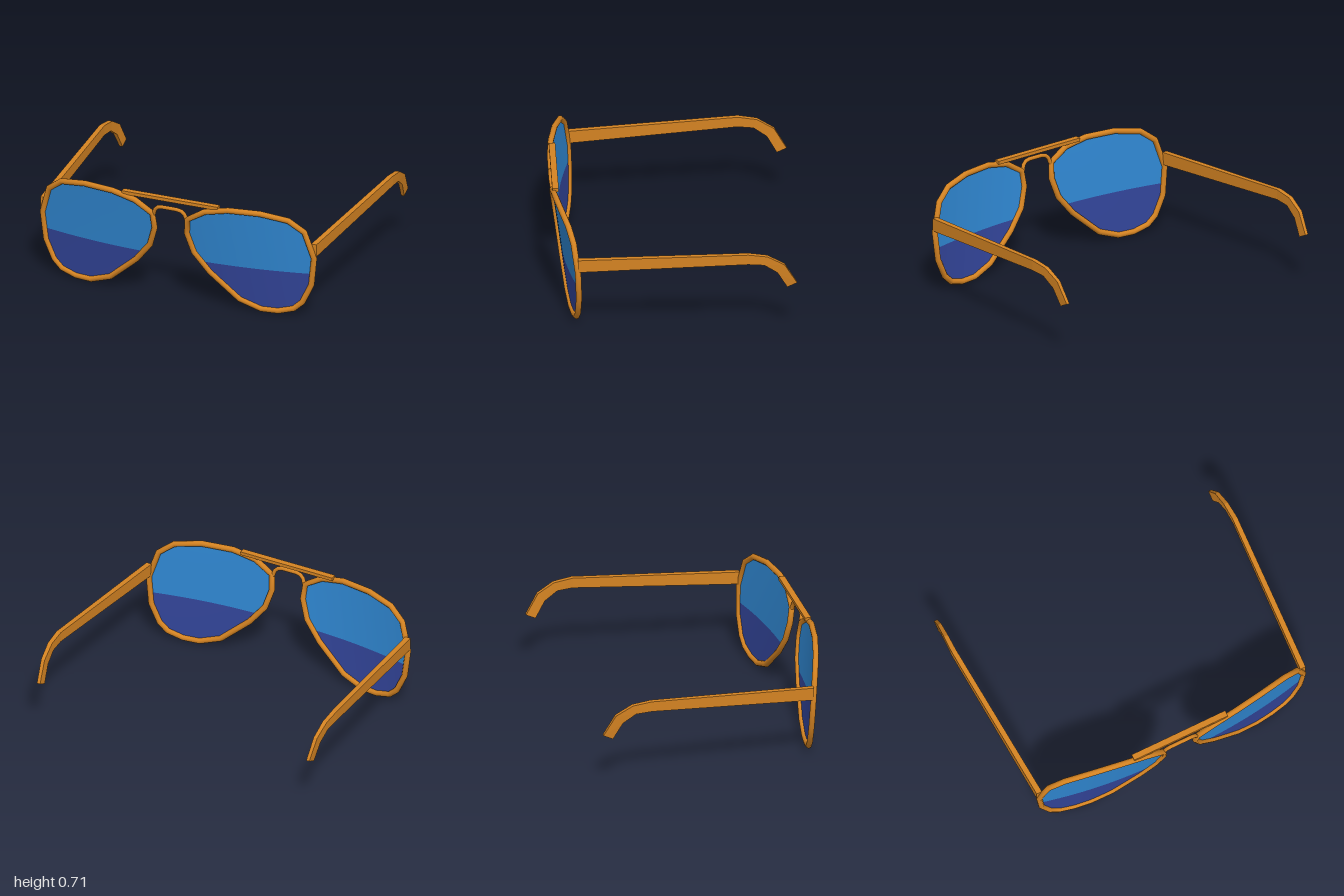
import * as THREE from 'three';

const orange = new THREE.MeshStandardMaterial({ color: 0xd48322 });
orange.name = 'amber frame';
const skyBlue = new THREE.MeshStandardMaterial({ color: 0x2f86d0, side: THREE.DoubleSide });
skyBlue.name = 'upper lens blue';
const deepBlue = new THREE.MeshStandardMaterial({ color: 0x324498, side: THREE.DoubleSide });
deepBlue.name = 'lower lens indigo';

// Curved, tilted face that rims and lenses lie on
const faceZ = (x, y) => 0.755 - 0.155 * x * x - (0.155 - 0.1 * x) * (0.7 - y);

// Aviator outline of the left lens
const outline = [
  [0.925, 0.41], [0.905, 0.225], [0.847, 0.1], [0.79, 0.048], [0.69, 0.02], [0.58, 0.02],
  [0.44, 0.07], [0.25, 0.235], [0.15, 0.36], [0.11, 0.49], [0.12, 0.59], [0.238, 0.663],
  [0.393, 0.695], [0.596, 0.695], [0.773, 0.663], [0.87, 0.59],
];

// Straight-segment path with mitred corners
class Polyline extends THREE.Curve {
  constructor(points, closed) {
    super();
    this.points = points;
    this.closed = closed;
    this.n = closed ? points.length : points.length - 1;
  }
  at(i) {
    const k = this.points.length;
    return this.points[this.closed ? (i + k) % k : Math.min(Math.max(i, 0), k - 1)];
  }
  getPointAt(u, target = new THREE.Vector3()) {
    return target.copy(this.at(Math.round(u * this.n)));
  }
  getTangentAt(u, target = new THREE.Vector3()) {
    const i = Math.round(u * this.n), p = this.at(i);
    const a = p.clone().sub(this.at(i - 1)).normalize();
    const b = this.at(i + 1).clone().sub(p).normalize();
    return target.copy(a.add(b)).normalize();
  }
}

function polyTube(points, radius, closed) {
  const path = new Polyline(points, closed);
  return new THREE.TubeGeometry(path, path.n, radius, 10, closed);
}

function meshFromGrid(positions, index) {
  const g = new THREE.BufferGeometry();
  g.setAttribute('position', new THREE.Float32BufferAttribute(positions, 3));
  g.setIndex(index);
  g.computeVertexNormals();
  return g;
}

// Left and right limits of the outline at one height
function span(y) {
  const xs = [];
  outline.forEach(([x0, y0], i) => {
    const [x1, y1] = outline[(i + 1) % outline.length];
    if ((y0 <= y) !== (y1 <= y)) xs.push(x0 + ((x1 - x0) * (y - y0)) / (y1 - y0));
  });
  return [Math.min(...xs), Math.max(...xs)];
}

// Band of curved lens between two heights
function lensBand(yLow, yHigh, rows = 16, cols = 12) {
  const pos = [], idx = [];
  for (let r = 0; r <= rows; r++) {
    const y = yLow + ((yHigh - yLow) * r) / rows;
    const [a, b] = span(y);
    for (let c = 0; c <= cols; c++) {
      const x = a + ((b - a) * c) / cols;
      pos.push(x, y, faceZ(x, y));
      if (r < rows && c < cols) {
        const i = r * (cols + 1) + c, j = i + cols + 1;
        idx.push(i, i + 1, j + 1, i, j + 1, j);
      }
    }
  }
  return meshFromGrid(pos, idx);
}

// Temple sections: top z, top y, bottom z, bottom y, inner x, outer x
const templeSections = [
  [0.605, 0.506, 0.605, 0.424, 0.905, 0.942],
  [-0.46, 0.556, -0.46, 0.49, 0.968, 1.0],
  [-0.58, 0.539, -0.56, 0.481, 0.966, 0.995],
  [-0.687, 0.477, -0.642, 0.424, 0.96, 0.985],
  [-0.765, 0.346, -0.704, 0.317, 0.95, 0.972],
];

function templeGeometry() {
  const pos = [], idx = [];
  templeSections.forEach(([tz, ty, bz, by, xi, xo], s) => {
    pos.push(xi, by, bz, xo, by, bz, xo, ty, tz, xi, ty, tz);
    if (s === templeSections.length - 1) return;
    for (let k = 0; k < 4; k++) {
      const a = s * 4 + k, b = s * 4 + ((k + 1) % 4);
      idx.push(a, a + 4, b + 4, a, b + 4, b);
    }
  });
  const e = (templeSections.length - 1) * 4;
  idx.push(0, 1, 2, 0, 2, 3, e, e + 2, e + 1, e, e + 3, e + 2);
  return meshFromGrid(pos, idx);
}

// Mirror an indexed geometry across x = 0, keeping its faces outward
function mirrored(geometry) {
  const g = geometry.clone().scale(-1, 1, 1);
  const a = g.index.array;
  for (let i = 0; i < a.length; i += 3) [a[i + 1], a[i + 2]] = [a[i + 2], a[i + 1]];
  return g;
}

function faceted(geometry) {
  const g = geometry.toNonIndexed();
  g.computeVertexNormals();
  return g;
}

export function createModel() {
  const model = new THREE.Group();
  model.name = 'sunglasses';
  const add = (name, geometry, material) => {
    const mesh = new THREE.Mesh(geometry, material);
    mesh.name = name;
    model.add(mesh);
  };

  // Paired parts
  const rim = polyTube(outline.map(([x, y]) => new THREE.Vector3(x, y, faceZ(x, y))), 0.019, true);
  const upper = lensBand(0.3, 0.69), lower = lensBand(0.025, 0.3);
  const temple = templeGeometry();
  for (const side of ['left', 'right']) {
    const place = (g) => (side === 'left' ? g : mirrored(g));
    add(`${side}Rim`, place(rim), orange);
    add(`${side}LensUpper`, place(upper), skyBlue);
    add(`${side}LensLower`, place(lower), deepBlue);
    add(`${side}Temple`, faceted(place(temple)), orange);
  }

  // Brow bar
  const bar = new THREE.BoxGeometry(0.655, 0.022, 0.04);
  bar.translate(0, 0.7, 0.725);
  add('browBar', bar, orange);

  // Arched nose bridge
  const half = [[0.112, 0.585, 0.735], [0.1, 0.622, 0.741], [0.08, 0.641, 0.745], [0.05, 0.648, 0.747]];
  const arch = [...half.map(([x, y, z]) => [-x, y, z]), ...half.slice().reverse()];
  add('noseBridge', polyTube(arch.map((p) => new THREE.Vector3(...p)), 0.013, false), orange);

  return model;
}
